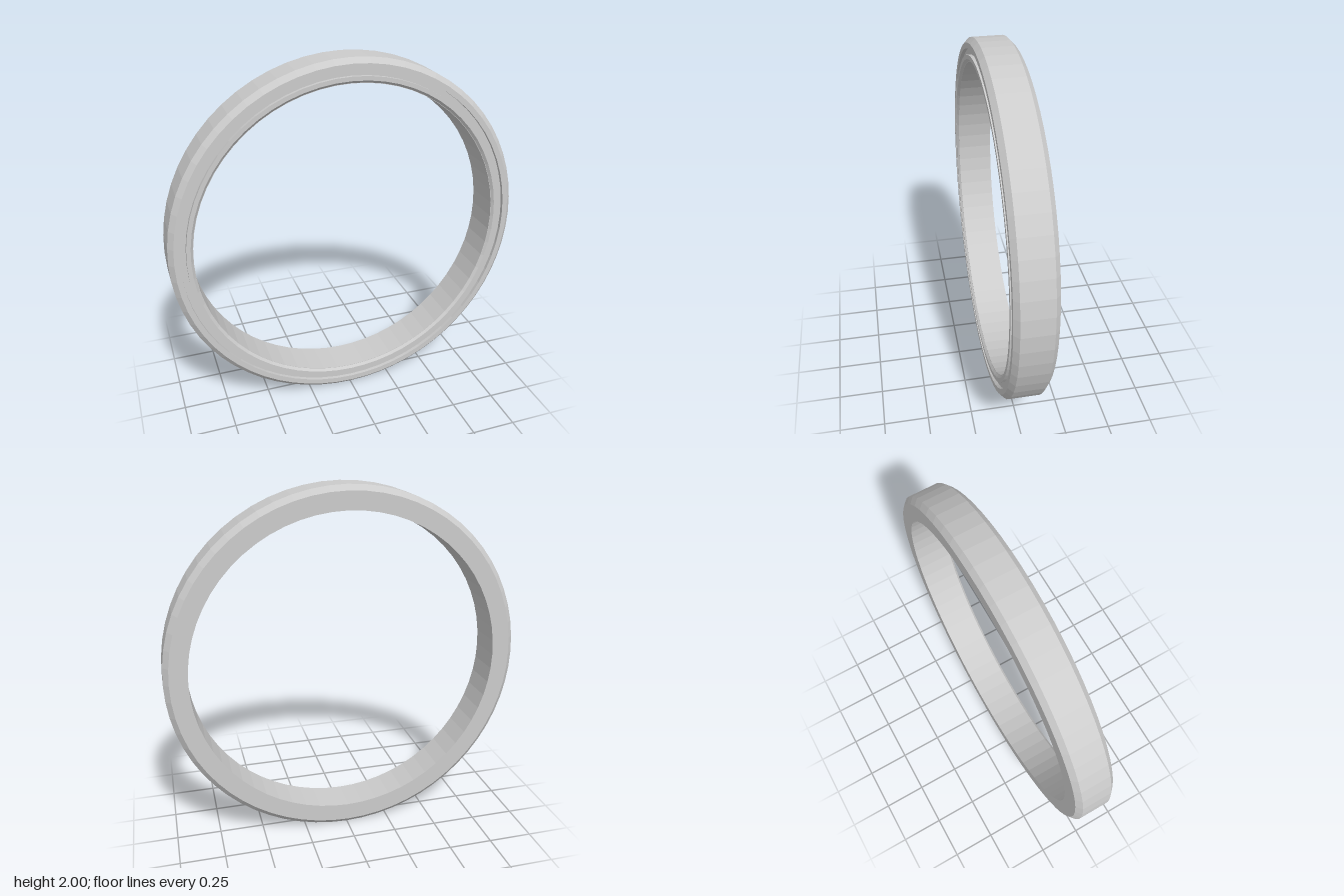
import * as THREE from 'three';

export function createModel() {
  const group = new THREE.Group();

  // Ring cross-section as [radius, z], counter-clockwise
  const profile = [
    [0.87, -0.11], [0.97, -0.11], [1, -0.083],   // flat back, outer chamfer
    [1, 0.083], [0.972, 0.11],                   // rim, outer front chamfer
    [0.942, 0.11], [0.942, 0.09],                // front land, groove wall
    [0.908, 0.09], [0.908, 0.11],                // groove floor, groove wall
    [0.885, 0.11], [0.872, 0.097],               // inner land, inner chamfer
    [0.87, 0.097], [0.87, -0.11],                // bore
  ].map(([r, z]) => new THREE.Vector2(r, z));

  const geometry = new THREE.LatheGeometry(profile, 64);
  geometry.rotateX(Math.PI / 2); // lathe axis to z
  geometry.translate(0, 1, 0);

  const ring = new THREE.Mesh(
    geometry,
    new THREE.MeshStandardMaterial({ color: 0xcccccc, flatShading: true }),
  );
  ring.name = 'groovedRing';
  group.add(ring);
  return group;
}
